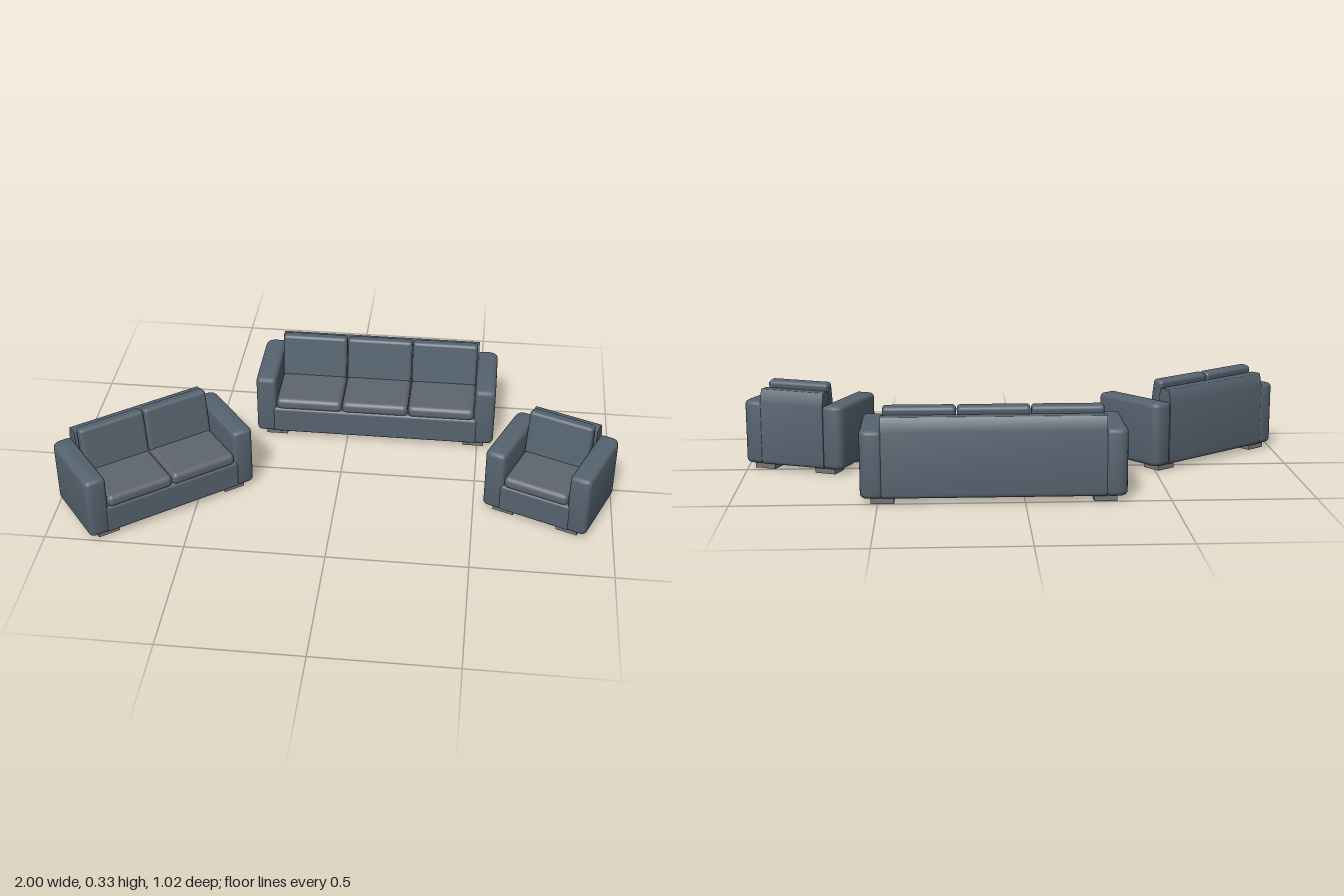
import * as THREE from 'three';
import { toCreasedNormals } from 'three/addons/utils/BufferGeometryUtils.js';
import { RoundedBoxGeometry } from 'three/addons/geometries/RoundedBoxGeometry.js';

const fabric = new THREE.MeshStandardMaterial({ color: 0x56636f });
const seatFabric = new THREE.MeshStandardMaterial({ color: 0x5f6570 });
const footMaterial = new THREE.MeshStandardMaterial({ color: 0x777577 });

const DEPTH = 0.305, ARM = 0.077, FLOOR = 0.02, ARM_TOP = 0.255;

function add(parent, name, geometry, material, x = 0, y = 0, z = 0) {
  const mesh = new THREE.Mesh(geometry, material);
  mesh.name = name;
  mesh.position.set(x, y, z);
  parent.add(mesh);
  return mesh;
}

// Arm: rounded plan, wider curve on the outer back corner, bevelled top and bottom
function armGeometry(side, outer) {
  const inner = outer - ARM, h = DEPTH / 2, r = 0.018, f = 0.024, b = 0.036;
  const X = (x) => x * side;
  const s = new THREE.Shape();
  s.moveTo(X(inner + r), -h);
  s.lineTo(X(outer - f), -h);
  s.quadraticCurveTo(X(outer), -h, X(outer), -h + f);
  s.lineTo(X(outer), h - b);
  s.quadraticCurveTo(X(outer), h, X(outer - b), h);
  s.lineTo(X(inner + r), h);
  s.quadraticCurveTo(X(inner), h, X(inner), h - r);
  s.lineTo(X(inner), -h + r);
  s.quadraticCurveTo(X(inner), -h, X(inner + r), -h);
  const bevel = 0.016;
  const g = new THREE.ExtrudeGeometry(s, {
    depth: ARM_TOP - FLOOR - 2 * bevel, curveSegments: 6, bevelEnabled: true,
    bevelSize: bevel, bevelThickness: bevel, bevelOffset: -bevel, bevelSegments: 4,
  });
  g.rotateX(-Math.PI / 2).translate(0, FLOOR + bevel, 0);
  return toCreasedNormals(g, 0.6);
}

// Back: side profile that tapers above the arms, run between the arms
function backGeometry(width) {
  const s = new THREE.Shape();
  s.moveTo(-0.09, FLOOR);
  s.lineTo(-0.137, FLOOR);
  s.quadraticCurveTo(-0.1515, FLOOR, -0.1515, FLOOR + 0.015);
  s.lineTo(-0.1515, 0.25);
  s.lineTo(-0.142, 0.295);
  s.quadraticCurveTo(-0.141, 0.3, -0.136, 0.3);
  s.lineTo(-0.104, 0.3);
  s.quadraticCurveTo(-0.1, 0.3, -0.099, 0.295);
  s.lineTo(-0.09, 0.245);
  const g = new THREE.ExtrudeGeometry(s, { depth: width, bevelEnabled: false, curveSegments: 4 });
  g.rotateY(-Math.PI / 2).translate(width / 2, 0, 0);
  // the quarter turn sends profile x to z
  return toCreasedNormals(g, 0.6);
}

function createSofa(name, seats, width) {
  const sofa = new THREE.Group();
  sofa.name = name;
  const inside = width - 2 * ARM, pitch = inside / seats;

  for (const side of [-1, 1]) {
    add(sofa, side > 0 ? 'leftArm' : 'rightArm', armGeometry(side, width / 2), fabric);
    // Flat block feet
    for (const end of [-1, 1]) {
      add(sofa, end > 0 ? 'frontFoot' : 'backFoot', new THREE.BoxGeometry(0.08, 0.024, 0.075),
        footMaterial, side * (width / 2 - 0.076), 0.012, end * 0.0965);
    }
  }
  add(sofa, 'back', backGeometry(inside + 0.008), fabric);
  add(sofa, 'base', new RoundedBoxGeometry(inside + 0.03, 0.108, 0.29, 3, 0.012), fabric,
    0, FLOOR + 0.054, 0.008);

  // One seat cushion and one leaning back cushion per place
  for (let i = 0; i < seats; i++) {
    const x = (i - (seats - 1) / 2) * pitch;
    add(sofa, 'seatCushion', new RoundedBoxGeometry(pitch - 0.002, 0.046, 0.245, 4, 0.018),
      seatFabric, x, 0.147, 0.034);
    const cushion = add(sofa, 'backCushion',
      new RoundedBoxGeometry(pitch - 0.003, 0.172, 0.046, 4, 0.013), fabric, x, 0.241, -0.065);
    cushion.rotation.x = -0.15;
  }
  return sofa;
}

export function createModel() {
  const model = new THREE.Group();
  model.name = 'loungeSet';
  const pieces = [
    ['threeSeatSofa', 3, 0.91, 0.105, -0.362, 0],
    ['twoSeatSofa', 2, 0.655, -0.66, 0.196, 38],
    ['armchair', 1, 0.397, 0.772, 0.098, -22],
  ];
  for (const [name, seats, width, x, z, turn] of pieces) {
    const sofa = createSofa(name, seats, width);
    sofa.position.set(x, 0, z);
    sofa.rotation.y = THREE.MathUtils.degToRad(turn);
    model.add(sofa);
  }
  return model;
}
